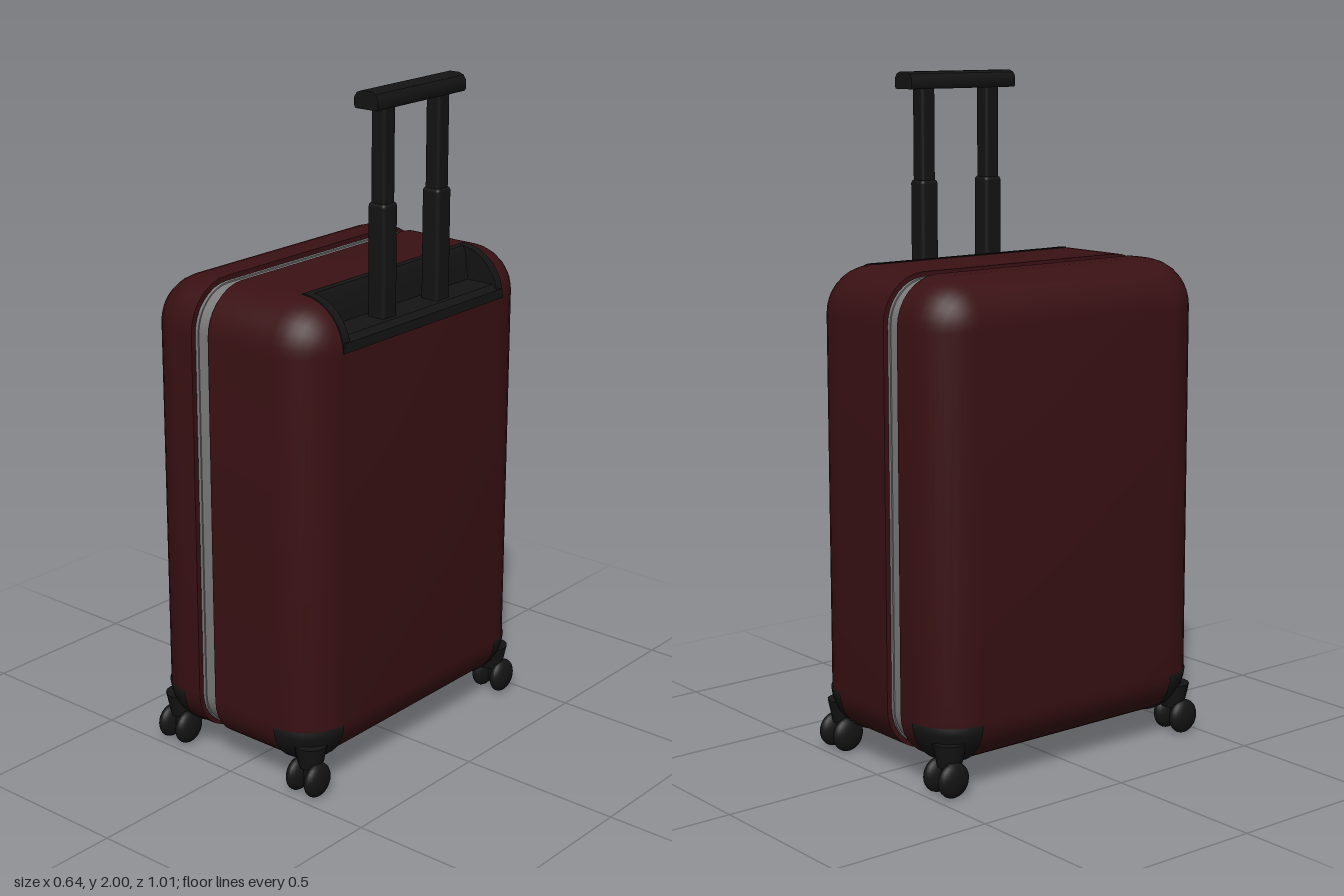
import * as THREE from 'three';
import { toCreasedNormals } from 'three/addons/utils/BufferGeometryUtils.js';
import { RoundedBoxGeometry } from 'three/addons/geometries/RoundedBoxGeometry.js';

const R = 0.14;                 // corner radius of the case
const HX = 0.316, HZ = 0.5;     // half width and half depth
const Y0 = 0.07, Y1 = 1.457;    // bottom and top of the case
const CY = (Y0 + Y1) / 2, HY = (Y1 - Y0) / 2;
const SEG = 8;                  // steps around each corner

const red = new THREE.MeshStandardMaterial({ color: 0x3a1114, side: THREE.DoubleSide });
const black = new THREE.MeshStandardMaterial({ color: 0x141414, side: THREE.DoubleSide });
const grey = new THREE.MeshStandardMaterial({ color: 0x7c7c7c });

function add(parent, name, geometry, material, x = 0, y = 0, z = 0) {
  const mesh = new THREE.Mesh(geometry, material);
  mesh.name = name;
  mesh.position.set(x, y, z);
  parent.add(mesh);
  return mesh;
}

// Rounded rectangle in the zy plane; the flat top lies between points SEG and SEG + 1
function ring(x, inset) {
  const r = R - inset, points = [];
  for (let c = 0; c < 4; c++) {
    const sz = c === 0 || c === 3 ? 1 : -1, sy = c < 2 ? 1 : -1;
    for (let i = 0; i <= SEG; i++) {
      const a = (c + i / SEG) * Math.PI / 2;
      points.push([x, CY + sy * (HY - R) + r * Math.sin(a), sz * (HZ - R) + r * Math.cos(a)]);
    }
  }
  return points;
}

// Skins a row of [x, inset] rings and closes both ends; notch leaves the rounded top edge open
function loft(profile, notch = false) {
  const rings = profile.map(([x, inset]) => ring(x, inset));
  const n = rings[0].length, pos = [];
  const tri = (a, b, c) => pos.push(...a, ...b, ...c);
  for (let k = 0; k < rings.length - 1; k++) {
    for (let i = 0; i < n; i++) {
      if (notch && k > 0 && i === SEG) continue;
      const j = (i + 1) % n, A = rings[k], B = rings[k + 1];
      tri(A[i], A[j], B[j]);
      tri(A[i], B[j], B[i]);
    }
  }
  const first = rings[0], last = rings[rings.length - 1];
  for (let i = 0; i < n; i++) {
    const j = (i + 1) % n;
    tri(first[j], first[i], [first[0][0], CY, 0]);
    tri(last[i], last[j], [last[0][0], CY, 0]);
  }
  // Reverse the winding so that faces look outwards
  for (let i = 0; i < pos.length; i += 9) {
    for (let k = 0; k < 3; k++) [pos[i + 3 + k], pos[i + 6 + k]] = [pos[i + 6 + k], pos[i + 3 + k]];
  }
  const g = new THREE.BufferGeometry();
  g.setAttribute('position', new THREE.Float32BufferAttribute(pos, 3));
  return toCreasedNormals(g, 0.6);
}

// Straight wall from the seam, then a quarter round to the flat face
function shellProfile(seam) {
  const profile = [[seam, 0]];
  for (let i = 0; i <= SEG; i++) {
    const a = i / SEG * Math.PI / 2;
    profile.push([HX - R + R * Math.sin(a), R * (1 - Math.cos(a))]);
  }
  return profile;
}

// Extrudes an xy shape along z, centred on z = 0
function extrude(shape, depth) {
  const g = new THREE.ExtrudeGeometry(shape, { depth, bevelEnabled: false, curveSegments: 10 });
  return toCreasedNormals(g.translate(0, 0, -depth / 2), 0.6);
}

function polygon(points) {
  return new THREE.Shape(points.map(([x, y]) => new THREE.Vector2(x, y)));
}

function createModel() {
  const suitcase = new THREE.Group();
  suitcase.name = 'suitcase';

  // Case halves and the recessed band in the seam
  add(suitcase, 'leftShell', loft(shellProfile(-0.055), true), red);
  const mirrored = shellProfile(0.118).map(([x, inset]) => [-x, inset]).reverse();
  add(suitcase, 'rightShell', loft(mirrored), red);
  add(suitcase, 'seamBand', loft([[-0.125, 0.017], [-0.05, 0.017]]), grey);
  for (const x of [-0.11, -0.063]) {
    add(suitcase, 'bandRim', loft([[x - 0.005, 0.013], [x + 0.005, 0.013]]), grey);
  }

  // Handle tray: back wall and floor, open to the side, with rounded cheeks
  const tray = new THREE.Group();
  tray.name = 'handleTray';
  suitcase.add(tray);
  const xi = HX - R - 0.006, yi = Y1 - R, rt = R + 0.003;
  const wall = polygon([[xi, yi], [HX + 0.003, yi], [HX + 0.002, 1.345], [0.3, 1.36],
    [0.21, 1.36], [0.2, 1.44], [0.19, Y1 + 0.002], [xi, Y1 + 0.003]]);
  add(tray, 'trayFloor', extrude(wall, 0.71), black);
  const cheek = new THREE.Shape();
  cheek.moveTo(xi, yi);
  cheek.lineTo(HX - R + rt, yi);
  cheek.absarc(HX - R, yi, rt, 0, Math.PI / 2, false);
  cheek.lineTo(xi, yi + rt);
  for (const s of [-1, 1]) add(tray, 'trayCheek', extrude(cheek, 0.028), black, 0, 0, s * 0.347);

  // Telescopic handle
  const handle = new THREE.Group();
  handle.name = 'handle';
  suitcase.add(handle);
  for (const s of [-1, 1]) {
    add(handle, 'lowerTube', new RoundedBoxGeometry(0.062, 0.34, 0.062, 3, 0.012), black, 0.254, 1.515, s * 0.12);
    add(handle, 'upperTube', new RoundedBoxGeometry(0.05, 0.32, 0.05, 3, 0.01), black, 0.254, 1.81, s * 0.12);
  }
  const grip = polygon([[-0.037, 0], [0.037, 0], [0.041, 0.008], [0.041, 0.03], [0.032, 0.044],
    [0.016, 0.05], [-0.016, 0.05], [-0.032, 0.044], [-0.041, 0.03], [-0.041, 0.008]]);
  add(handle, 'grip', extrude(grip, 0.388), black, 0.254, 1.95, 0);

  // Corner guards with twin wheels
  const rg = R + 0.004;
  const guardProfile = [];
  for (let i = 0; i <= 10; i++) {
    const a = i / 10 * 1.5;
    guardProfile.push(new THREE.Vector2(rg * Math.sin(a), -rg * Math.cos(a)));
  }
  guardProfile.push(new THREE.Vector2(R - 0.004, -0.008));
  for (const sx of [-1, 1]) {
    for (const sz of [-1, 1]) {
      const corner = new THREE.Group();
      corner.name = 'wheelCorner';
      suitcase.add(corner);
      const start = Math.atan2(sx, sz) - Math.PI / 4;
      add(corner, 'cornerGuard', new THREE.LatheGeometry(guardProfile, 12, start, Math.PI / 2), black,
        sx * (HX - R), Y0 + R, sz * (HZ - R));
      const wx = sx * 0.256, wz = sz * 0.445;
      add(corner, 'fork', new THREE.CylinderGeometry(0.05, 0.035, 0.07, 16), black, wx, 0.118, wz - sz * 0.012);
      add(corner, 'stem', new THREE.CylinderGeometry(0.014, 0.014, 0.08, 12), black, wx, 0.07, wz);
      add(corner, 'axle', new THREE.CylinderGeometry(0.012, 0.012, 0.08, 12).rotateZ(Math.PI / 2), black, wx, 0.052, wz);
      for (const s of [-1, 1]) {
        const wheel = new THREE.SphereGeometry(0.052, 24, 14).scale(0.48, 1, 1);
        add(corner, 'wheel', wheel, black, wx + s * 0.034, 0.052, wz);
      }
    }
  }
  return suitcase;
}

export { createModel };
